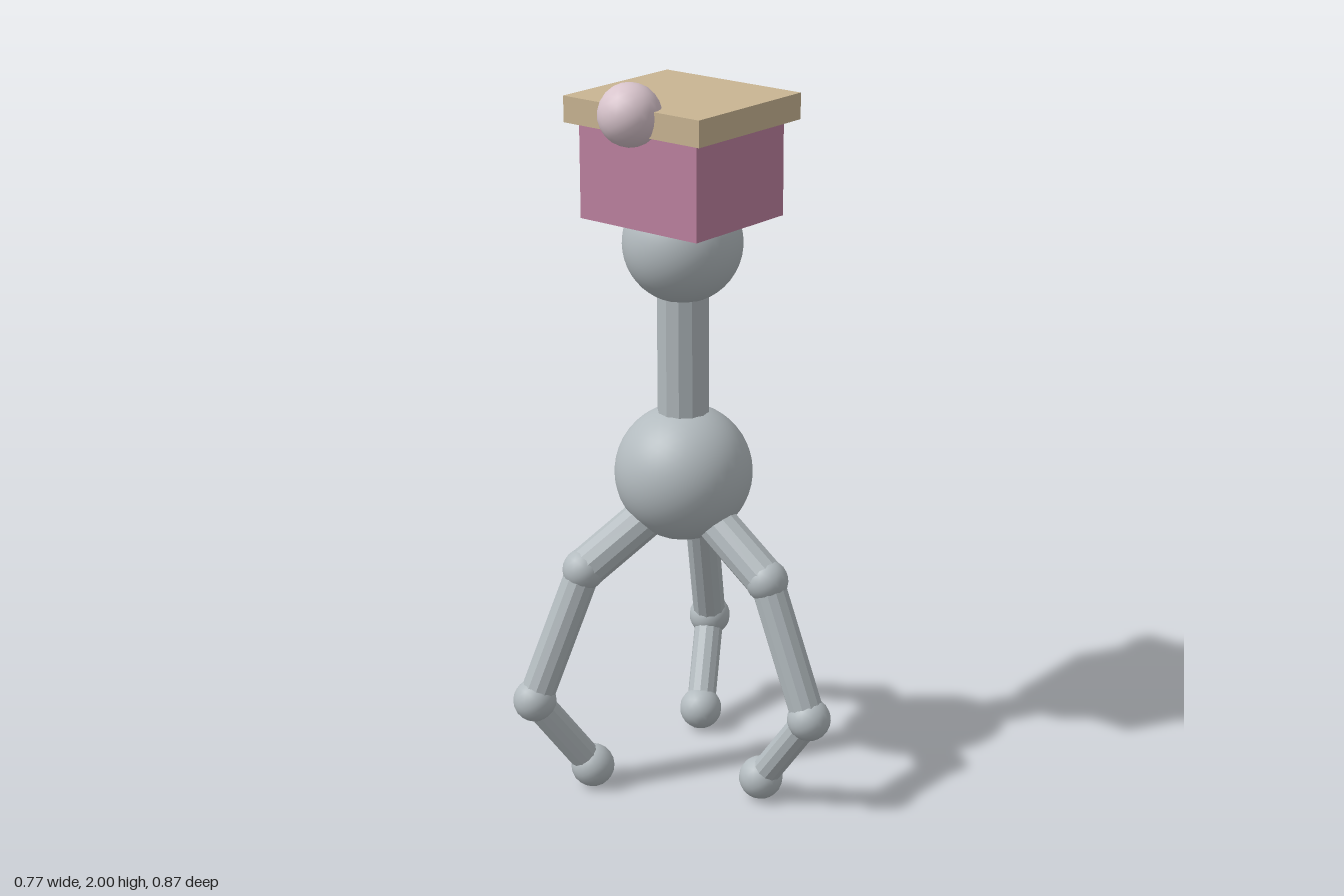
import * as THREE from 'three';

const AXIS_X = -0.11; // vertical axis of the body

function makeMaterial(name, color) {
  const m = new THREE.MeshStandardMaterial({ color });
  m.name = name;
  return m;
}

export function createModel() {
  const grey = makeMaterial('light grey', 0xb3bbbf);
  const pink = makeMaterial('dusty pink', 0xbe82a0);
  const tan = makeMaterial('tan', 0xc9b593);
  const pale = makeMaterial('pale pink', 0xd8c4cc);

  const model = new THREE.Group();
  model.name = 'threeLeggedFigure';

  function add(parent, name, geometry, material, position) {
    const mesh = new THREE.Mesh(geometry, material);
    mesh.name = name;
    mesh.position.copy(position);
    parent.add(mesh);
    return mesh;
  }

  // Icosahedron-based ball; its unshared vertices give flat facets
  function ball(parent, name, r, detail, material, p) {
    return add(parent, name, new THREE.IcosahedronGeometry(r, detail), material, p);
  }

  // Faceted rod between two points
  function rod(parent, name, a, b, r, sides) {
    const dir = b.clone().sub(a);
    const g = new THREE.CylinderGeometry(r, r, dir.length(), sides).toNonIndexed();
    g.computeVertexNormals();
    const mesh = add(parent, name, g, grey, a.clone().add(b).multiplyScalar(0.5));
    mesh.quaternion.setFromUnitVectors(new THREE.Vector3(0, 1, 0), dir.normalize());
  }

  const v = (x, y, z = 0) => new THREE.Vector3(x, y, z);

  // Body, neck and head
  ball(model, 'body', 0.187, 7, grey, v(AXIS_X, 0.9));
  rod(model, 'neck', v(AXIS_X, 1.0), v(AXIS_X, 1.46), 0.07, 12);
  ball(model, 'head', 0.16, 7, grey, v(AXIS_X, 1.54));

  // Box hat with lid and ball
  add(model, 'hatBox', new THREE.BoxGeometry(0.392, 0.255, 0.356), pink, v(AXIS_X, 1.7375, 0.002));
  add(model, 'hatLid', new THREE.BoxGeometry(0.452, 0.07, 0.414), tan, v(AXIS_X, 1.9, -0.001));
  ball(model, 'hatBall', 0.083, 3, pale, v(AXIS_X, 1.917, 0.206));

  // Three jointed legs around the axis
  const hip = v(0.09, 0.795), knee = v(0.288, 0.654), ankle = v(0.435, 0.29), foot = v(0.272, 0.065);
  for (let i = 0; i < 3; i++) {
    const leg = new THREE.Group();
    leg.name = 'leg' + (i + 1);
    leg.position.x = AXIS_X;
    leg.rotation.y = (i * Math.PI * 2) / 3;
    rod(leg, 'upperLeg', hip, knee, 0.056, 12);
    ball(leg, 'knee', 0.058, 3, grey, knee);
    rod(leg, 'middleLeg', knee, ankle, 0.047, 12);
    ball(leg, 'ankle', 0.059, 3, grey, ankle);
    rod(leg, 'lowerLeg', ankle, foot, 0.041, 12);
    ball(leg, 'foot', 0.06, 3, grey, foot);
    model.add(leg);
  }

  return model;
}
